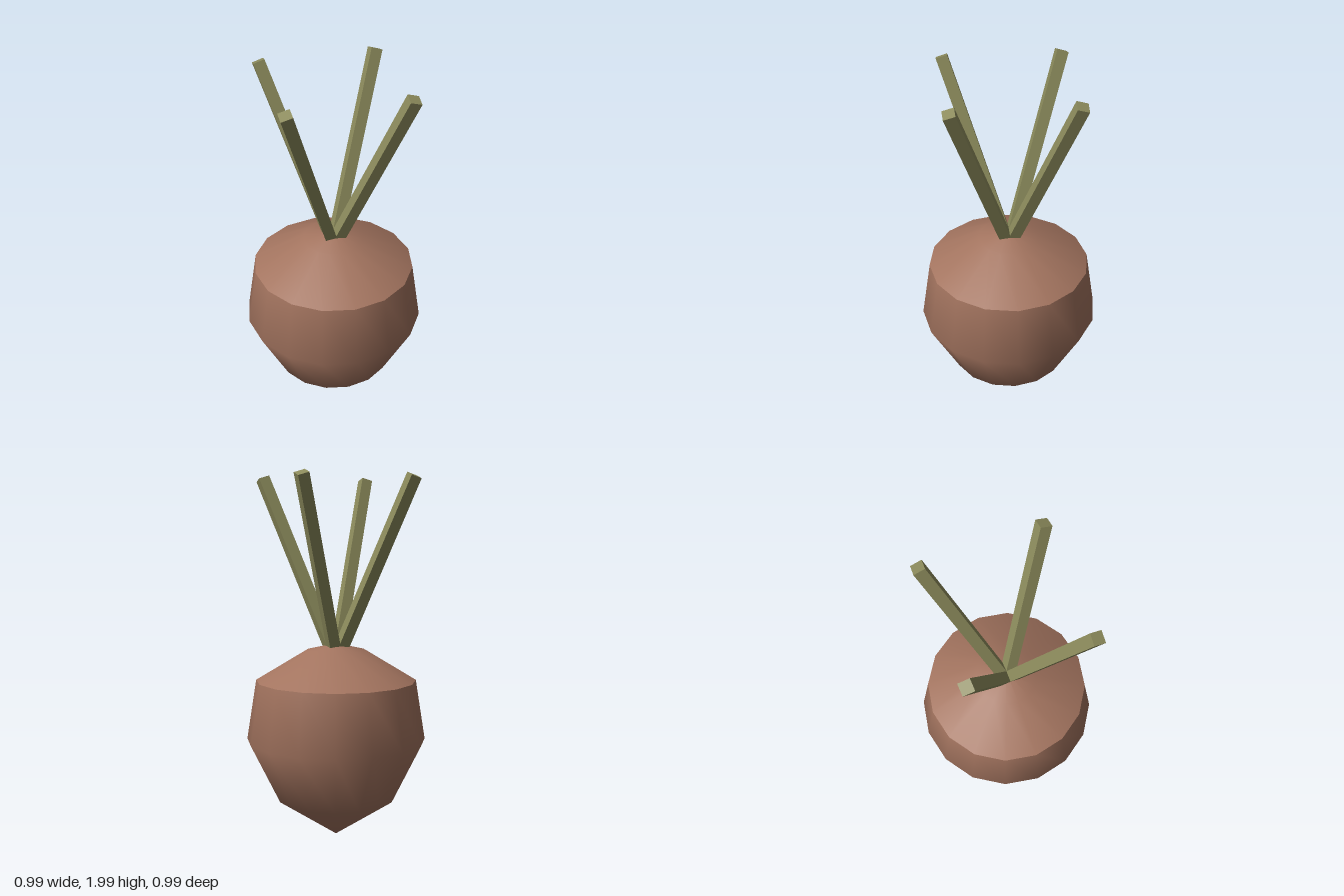
import * as THREE from 'three';

const SIDES = 16;

function lathe(name, profile, material) {
  const points = profile.map(([r, y]) => new THREE.Vector2(r, y));
  const mesh = new THREE.Mesh(new THREE.LatheGeometry(points, SIDES), material);
  mesh.name = name;
  return mesh;
}

export function createModel() {
  const skin = new THREE.MeshStandardMaterial({ name: 'brown skin', color: 0xa3745f });
  const green = new THREE.MeshStandardMaterial({ name: 'olive stem', color: 0x8c8b5c, flatShading: true });

  const model = new THREE.Group();
  model.name = 'rootVegetable';

  // Bulb and crown are separate so the rim between them stays sharp
  model.add(lathe('bulb', [[0, 0.005], [0.33, 0.225], [0.493, 0.555], [0.44, 0.885]], skin));
  model.add(lathe('crown', [[0.44, 0.885], [0.165, 1.05], [0, 1.088]], skin));

  // Four square stems fan out from the middle of the crown
  const base = new THREE.Vector3(0, 0.995, 0);
  const tip = new THREE.Vector3(0.438, 1.982, 0);
  const axis = tip.clone().sub(base);
  const stemGeometry = new THREE.CylinderGeometry(0.043, 0.043, axis.length(), 4);
  stemGeometry.rotateZ(-Math.atan2(axis.x, axis.y));
  stemGeometry.translate((base.x + tip.x) / 2, (base.y + tip.y) / 2, 0);
  ['leftStem', 'backStem', 'rightStem', 'frontStem'].forEach((name, i) => {
    const stem = new THREE.Mesh(stemGeometry, green);
    stem.name = name;
    stem.rotation.y = i * Math.PI / 2;
    model.add(stem);
  });

  return model;
}
